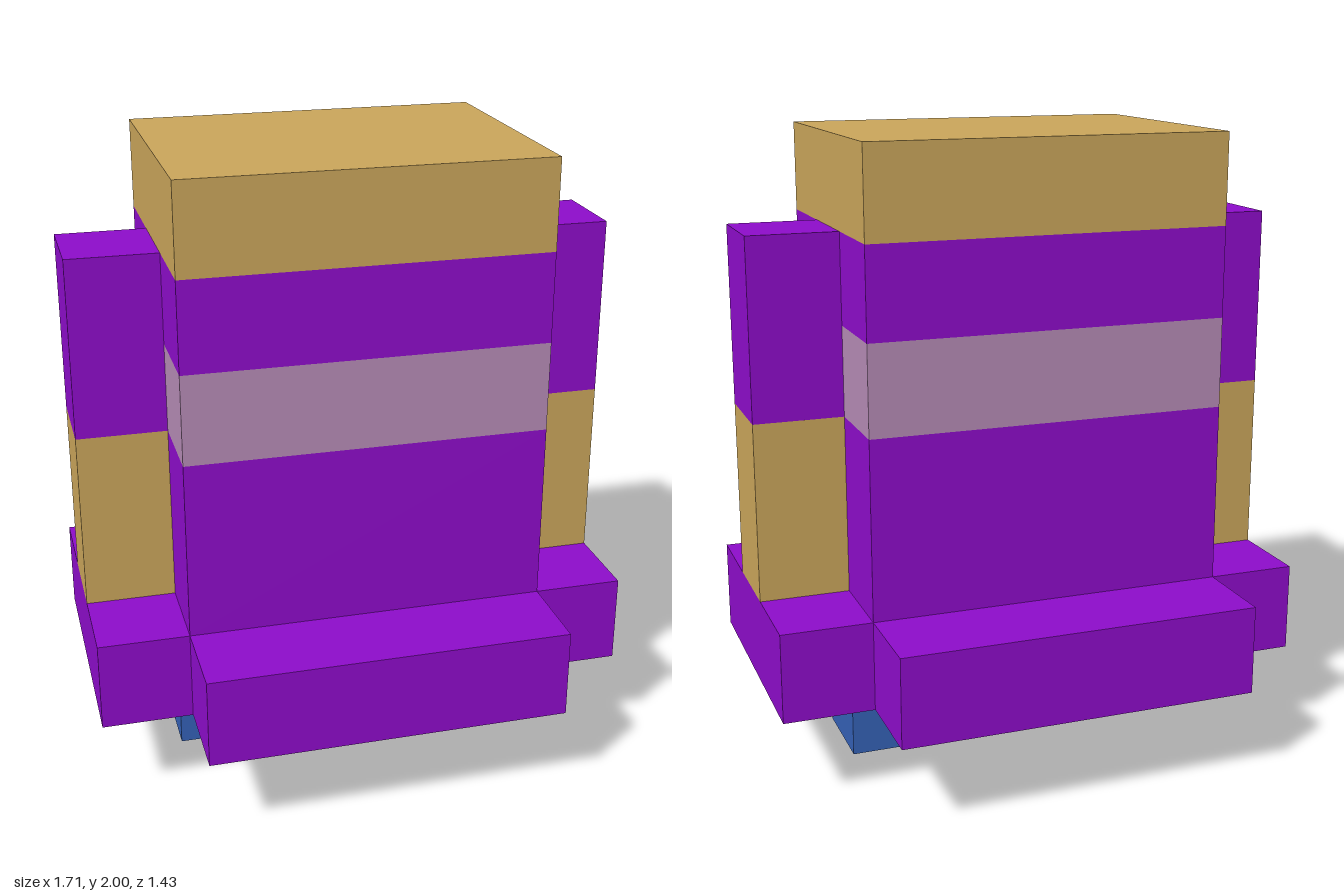
import * as THREE from 'three';

const U = 2 / 7; // the model is laid out on a grid of cubes, seven high

export function createModel() {
  const model = new THREE.Group();
  model.name = 'blockFigure';

  const material = (name, color) => {
    const m = new THREE.MeshStandardMaterial({ color });
    m.name = name;
    return m;
  };
  const purple = material('purple', 0x8c0cc8);
  const mauve = material('mauve', 0xb48ab4);
  const gold = material('gold', 0xc8a45a);
  const blue = material('blue', 0x3460b4);

  // Box of w x h x d grid units, standing on height y and centred on x, z = 0
  const block = (name, mat, w, h, d, x, y) => {
    const mesh = new THREE.Mesh(new THREE.BoxGeometry(w * U, h * U, d * U), mat);
    mesh.position.set(x * U, (y + h / 2) * U, 0);
    mesh.name = name;
    model.add(mesh);
  };

  // Skirt: cross-shaped slab, open between the legs
  const points = (list) => list.map(([x, y]) => new THREE.Vector2(x * U, y * U));
  const cross = new THREE.Shape(points([
    [-2, -2.5], [2, -2.5], [2, -1.5], [3, -1.5], [3, 1.5], [2, 1.5],
    [2, 2.5], [-2, 2.5], [-2, 1.5], [-3, 1.5], [-3, -1.5], [-2, -1.5],
  ]));
  cross.holes.push(new THREE.Path(points([[-1, -1.5], [-1, 1.5], [1, 1.5], [1, -1.5]])));
  const skirtGeometry = new THREE.ExtrudeGeometry(cross, { depth: U, bevelEnabled: false });
  skirtGeometry.rotateX(-Math.PI / 2);
  const skirt = new THREE.Mesh(skirtGeometry, purple);
  skirt.position.y = U;
  skirt.name = 'skirt';
  model.add(skirt);

  // Body, stacked in bands
  block('robe', purple, 4, 2, 3, 0, 2);
  block('faceBand', mauve, 4, 1, 3, 0, 4);
  block('hood', purple, 4, 1, 3, 0, 5);
  block('crown', gold, 4, 1, 3, 0, 6);

  // Legs and arms on both sides
  for (const [side, s] of [['left', 1], ['right', -1]]) {
    block(side + 'Leg', blue, 1, 1, 1, 1.5 * s, 0);
    block(side + 'Forearm', gold, 1, 2, 1, 2.5 * s, 2);
    block(side + 'Sleeve', purple, 1, 2, 1, 2.5 * s, 4);
  }

  return model;
}
